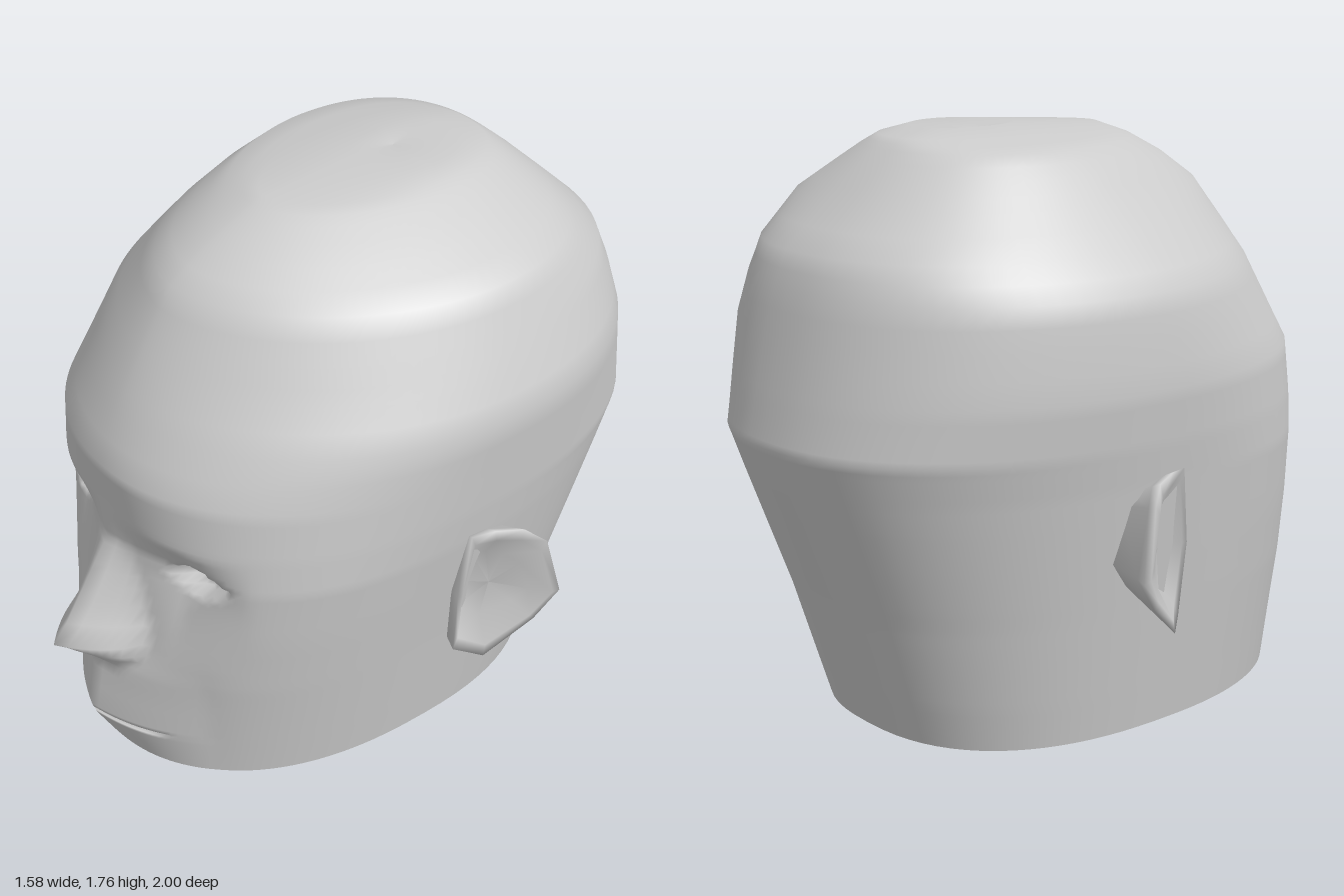
import * as THREE from 'three';

const COLS = 112;

// Skull levels: y, front z, back z, half width on the left, half width on the right, z of the widest point
const LEVELS = [
  [0.01, 0.79, -0.67, 0.53, 0.55, 0.03],
  [0.40, 0.79, -0.80, 0.59, 0.61, 0.0],
  [0.80, 0.77, -0.955, 0.655, 0.67, -0.05],
  [0.92, 0.785, -1.0, 0.67, 0.69, -0.08],
  [1.08, 0.80, -0.965, 0.685, 0.71, -0.1],
  [1.23, 0.73, -0.93, 0.70, 0.70, -0.12],
  [1.35, 0.665, -0.9, 0.65, 0.685, -0.14],
  [1.45, 0.605, -0.86, 0.605, 0.60, -0.16],
  [1.57, 0.53, -0.73, 0.55, 0.49, -0.18],
  [1.65, 0.41, -0.645, 0.41, 0.42, -0.18],
  [1.71, 0.29, -0.575, 0.30, 0.36, -0.2],
  [1.74, 0.21, -0.53, 0.24, 0.20, -0.22],
  [1.76, -0.1, -0.42, 0.18, 0.08, -0.25],
];

// Roundness of the sections by height: 1 is an ellipse, less is squarer
const FRONT_ROUND = [[0, 0.88], [0.4, 0.8], [0.6, 0.77], [0.8, 0.77], [0.92, 0.84], [1.08, 0.95], [1.23, 1.05], [1.35, 1.1]];
const BACK_ROUND = [[0, 0.81], [0.9, 0.9], [1.4, 0.9], [1.7, 0.86]];

// Linear interpolation through [x, value] points
function curve(points, x) {
  if (x <= points[0][0]) return points[0][1];
  for (let i = 1; i < points.length; i++) {
    const [x0, v0] = points[i - 1], [x1, v1] = points[i];
    if (x <= x1) return v0 + (v1 - v0) * (x - x0) / (x1 - x0);
  }
  return points[points.length - 1][1];
}
const level = (y, column) => curve(LEVELS.map((l) => [l[0], l[column]]), y);
const tent = (d) => Math.max(0, 1 - Math.abs(d));

const NOSE_OUT = [[0.36, 0], [0.41, 0.08], [0.48, 0.205], [0.8, 0.02], [0.95, 0]];
const NOSE_WIDTH = [[0.36, 0.1], [0.45, 0.165], [0.6, 0.13], [0.8, 0.08], [0.95, 0.1]];
const NOSE_SHARP = [[0.45, 0.5], [0.58, 0.85], [0.8, 1]];
const LIPS_OUT = [[0.01, 0.03], [0.125, 0.09], [0.17, 0.105], [0.37, 0.07], [0.5, 0]];
const SOCKET_DEPTH = [[0.5, 0], [0.74, 0.06], [0.8, 0.06], [0.9, 0]];

// Facial relief added to the skull's front
function relief(x, y) {
  const ax = Math.abs(x);
  const nose = curve(NOSE_OUT, y) * tent(x / curve(NOSE_WIDTH, y)) ** curve(NOSE_SHARP, y);
  const muzzle = curve(LIPS_OUT, y) * tent(x / 0.34);
  const mouth = 0.05 * tent((y - 0.146) / 0.009) * Math.min(1, 3 * tent(x / 0.24));
  const socket = curve(SOCKET_DEPTH, y) * tent((ax - 0.27) / 0.2);
  const eye = 0.05 * Math.min(1, 3 * Math.max(0, 1 - Math.abs(ax - 0.31) / 0.12 - Math.abs(y - 0.775) / 0.06));
  return nose + muzzle - mouth - socket - eye;
}

// One horizontal section of the head, with columns packed towards the face
function headRing(y) {
  const front = level(y, 1), back = level(y, 2), mid = level(y, 5);
  const ring = [];
  for (let i = 0; i < COLS; i++) {
    const a = (i / COLS) * Math.PI * 2;
    const t = a - 0.55 * Math.sin(a);
    const s = Math.sin(t), c = Math.cos(t);
    const p = curve(c > 0 ? FRONT_ROUND : BACK_ROUND, y);
    const x = Math.sign(s) * Math.abs(s) ** p * level(y, s > 0 ? 3 : 4);
    const reach = Math.abs(c) ** p;
    const z = c > 0 ? mid + (front - mid) * reach + relief(x, y) : mid + (back - mid) * reach;
    ring.push([x, y, z]);
  }
  return ring;
}

// Skin through closed rings of equal length
function loft(rings) {
  const n = rings[0].length, index = [];
  for (let j = 0; j < rings.length - 1; j++) {
    for (let i = 0; i < n; i++) {
      const a = j * n + i, b = j * n + (i + 1) % n;
      index.push(a, b, b + n, a, b + n, a + n);
    }
  }
  const geometry = new THREE.BufferGeometry();
  geometry.setAttribute('position', new THREE.Float32BufferAttribute(rings.flat(2), 3));
  geometry.setIndex(index);
  geometry.computeVertexNormals();
  return geometry;
}
const pointRing = (n, p) => Array.from({ length: n }, () => p);

// Ear rim from top to front, bottom and back: [distance out, y, z]
const EAR = [[0.7, 0.835, -0.1], [0.675, 0.83, -0.03], [0.66, 0.6, 0.0], [0.64, 0.37, -0.01], [0.7, 0.35, -0.08],
  [0.76, 0.47, -0.22], [0.79, 0.57, -0.29], [0.775, 0.78, -0.235], [0.735, 0.825, -0.18]];

function earGeometry(side) {
  const loop = (scale, xOf) => EAR.map(([x, y, z]) => [
    side * xOf(x), 0.6 + (y - 0.6) * scale, -0.12 + (z + 0.12) * scale]);
  const rings = [
    loop(0.75, () => 0.6),
    loop(0.92, (x) => x - 0.04),
    loop(1, (x) => x),
    loop(0.84, (x) => x),
    loop(0.5, (x) => x - 0.05),
    pointRing(EAR.length, [side * 0.66, 0.6, -0.12]),
  ];
  if (side < 0) rings.forEach((r) => r.reverse());
  return loft(rings);
}

export function createModel() {
  const model = new THREE.Group();
  model.name = 'head';
  // Double sided because the head is a shell, open underneath
  const grey = new THREE.MeshStandardMaterial({ color: 0xcccccc, side: THREE.DoubleSide });
  grey.name = 'plain grey';
  const add = (name, geometry) => {
    const mesh = new THREE.Mesh(geometry, grey);
    mesh.name = name;
    model.add(mesh);
  };

  // Skull and face, with closer rows through the mouth, nose and eyes
  const rows = [0.01, 0.07, 0.125, 0.137, 0.146, 0.155, 0.17, 0.25, 0.32, 0.36, 0.385, 0.41, 0.445, 0.48, 0.54, 0.6, 0.66];
  for (let y = 0.7; y < 0.96; y += 0.02) rows.push(y);
  rows.push(1.0, 1.04, 1.08, 1.15, 1.23, 1.29, 1.35, 1.4, 1.45, 1.51, 1.57, 1.61, 1.65, 1.68, 1.71, 1.725, 1.74, 1.76);
  const skin = rows.map(headRing);
  skin.push(pointRing(COLS, [0, 1.745, -0.25]));
  add('skull', loft(skin));

  // Open mouth lining hanging inside the shell, wider towards its top
  const lining = new THREE.CylinderGeometry(0.4, 0.35, 0.25, 16, 1, true);
  lining.translate(0, 0.125, 0.31);
  add('mouthLining', lining);

  // Ears
  add('leftEar', earGeometry(1));
  add('rightEar', earGeometry(-1));
  return model;
}
